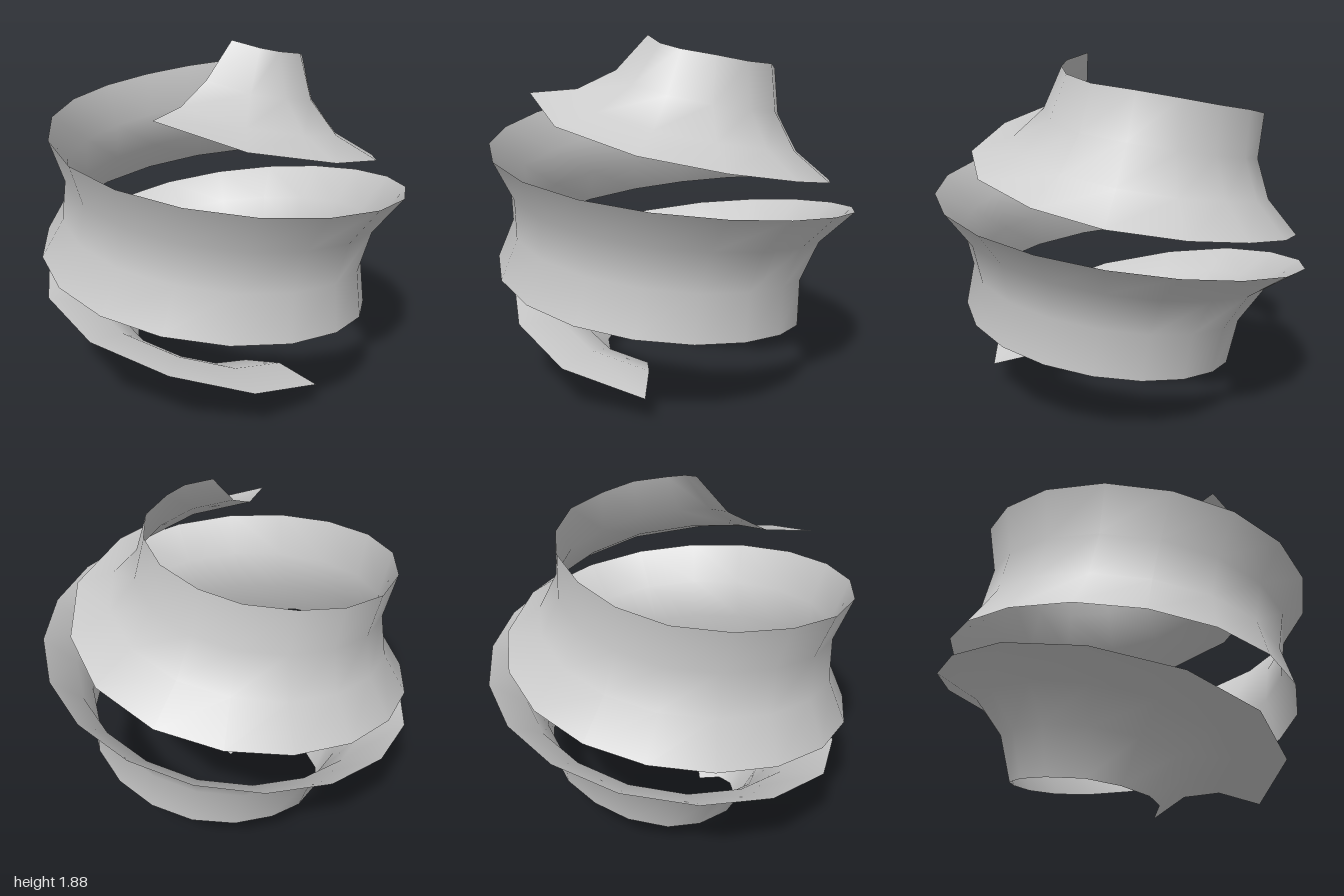
import * as THREE from 'three';

// Edge keys: [station, angle from the front in degrees, radius, height]
const upperEdge = [
  [0, 0, 0.2, 1.88], [1, 27, 0.29, 1.845], [2, 46, 0.33, 1.82], [3, 72, 0.4, 1.79],
  [4, 96, 0.45, 1.755], [5, 122, 0.52, 1.73], [6, 145, 0.58, 1.69], [7, 164, 0.63, 1.65],
  [8, 185, 0.69, 1.61], [10, 222, 0.82, 1.53], [12, 260, 0.9, 1.46], [14, 299, 0.955, 1.365],
  [17, 356, 1, 1.24], [22, 452, 0.985, 1.04], [27, 548, 1, 0.79], [30, 612, 1, 0.62],
  [31, 636, 0.98, 0.54], [32, 662, 0.93, 0.46], [33, 690, 0.875, 0.375],
  [34, 718, 0.83, 0.265], [35, 749, 0.73, 0.15],
];
const lowerEdge = [
  [0, -37.5, 0.755, 1.59], [1, -5, 0.79, 1.47], [2, 28, 0.805, 1.37], [3, 57, 0.83, 1.29],
  [4, 85, 0.835, 1.21], [5, 110, 0.855, 1.14], [6, 135, 0.877, 1.08], [7, 157, 0.9, 1.03],
  [9, 197, 0.945, 0.93], [13, 272, 0.99, 0.75], [17, 349, 0.93, 0.59], [22, 445, 0.76, 0.41],
  [25, 502, 0.68, 0.31], [27, 541, 0.62, 0.25], [28, 560, 0.595, 0.21], [29, 581, 0.567, 0.17],
  [30, 600, 0.53, 0.14], [31, 623, 0.485, 0.11], [32, 643, 0.43, 0.08], [33, 664, 0.36, 0.055],
  [34, 678, 0.3, 0.035], [35, 692, 0.19, 0],
];
const STATIONS = 35;
const ACROSS = 3;
const BOW = 0.095; // inward bow of the ribbon's cross-section

// Smooth (Hermite) interpolation of an edge at station t, as a point in space
function edgePoint(keys, t) {
  let k = 0;
  while (k < keys.length - 2 && keys[k + 1][0] <= t) k++;
  const slope = (j, c) => {
    const a = keys[Math.max(j - 1, 0)], b = keys[Math.min(j + 1, keys.length - 1)];
    return (b[c] - a[c]) / (b[0] - a[0]);
  };
  const a = keys[k], b = keys[k + 1], h = b[0] - a[0], s = (t - a[0]) / h;
  const [angle, r, y] = [1, 2, 3].map((c) =>
    a[c] * (1 + 2 * s) * (1 - s) ** 2 + b[c] * s * s * (3 - 2 * s) +
    h * s * (1 - s) * (slope(k, c) * (1 - s) - slope(k + 1, c) * s));
  const phi = THREE.MathUtils.degToRad(angle);
  return new THREE.Vector3(r * Math.sin(phi), y, r * Math.cos(phi));
}

const centre = (t) => edgePoint(upperEdge, t).add(edgePoint(lowerEdge, t)).multiplyScalar(0.5);

// Two-turn spiral ribbon, lofted between its edges with a concave section
function spiralRibbon() {
  const positions = [], indices = [];
  for (let i = 0; i <= STATIONS; i++) {
    const top = edgePoint(upperEdge, i), bottom = edgePoint(lowerEdge, i);
    const tangent = centre(Math.min(i + 0.5, STATIONS)).sub(centre(Math.max(i - 0.5, 0)));
    const inward = tangent.cross(bottom.clone().sub(top)).normalize();
    for (let j = 0; j <= ACROSS; j++) {
      const s = j / ACROSS;
      const p = top.clone().lerp(bottom, s).addScaledVector(inward, BOW * 4.5 * s * (1 - s));
      positions.push(p.x, p.y, p.z);
      if (i < STATIONS && j < ACROSS) {
        const a = i * (ACROSS + 1) + j, b = a + ACROSS + 1;
        indices.push(a, a + 1, b, b, a + 1, b + 1);
      }
    }
  }
  const geometry = new THREE.BufferGeometry();
  geometry.setAttribute('position', new THREE.Float32BufferAttribute(positions, 3));
  geometry.setIndex(indices);
  geometry.computeVertexNormals();
  return geometry;
}

export function createModel() {
  const group = new THREE.Group();
  const material = new THREE.MeshStandardMaterial({ color: 0xcccccc, side: THREE.DoubleSide });
  const ribbon = new THREE.Mesh(spiralRibbon(), material);
  ribbon.name = 'spiralRibbon';
  group.add(ribbon);
  return group;
}
